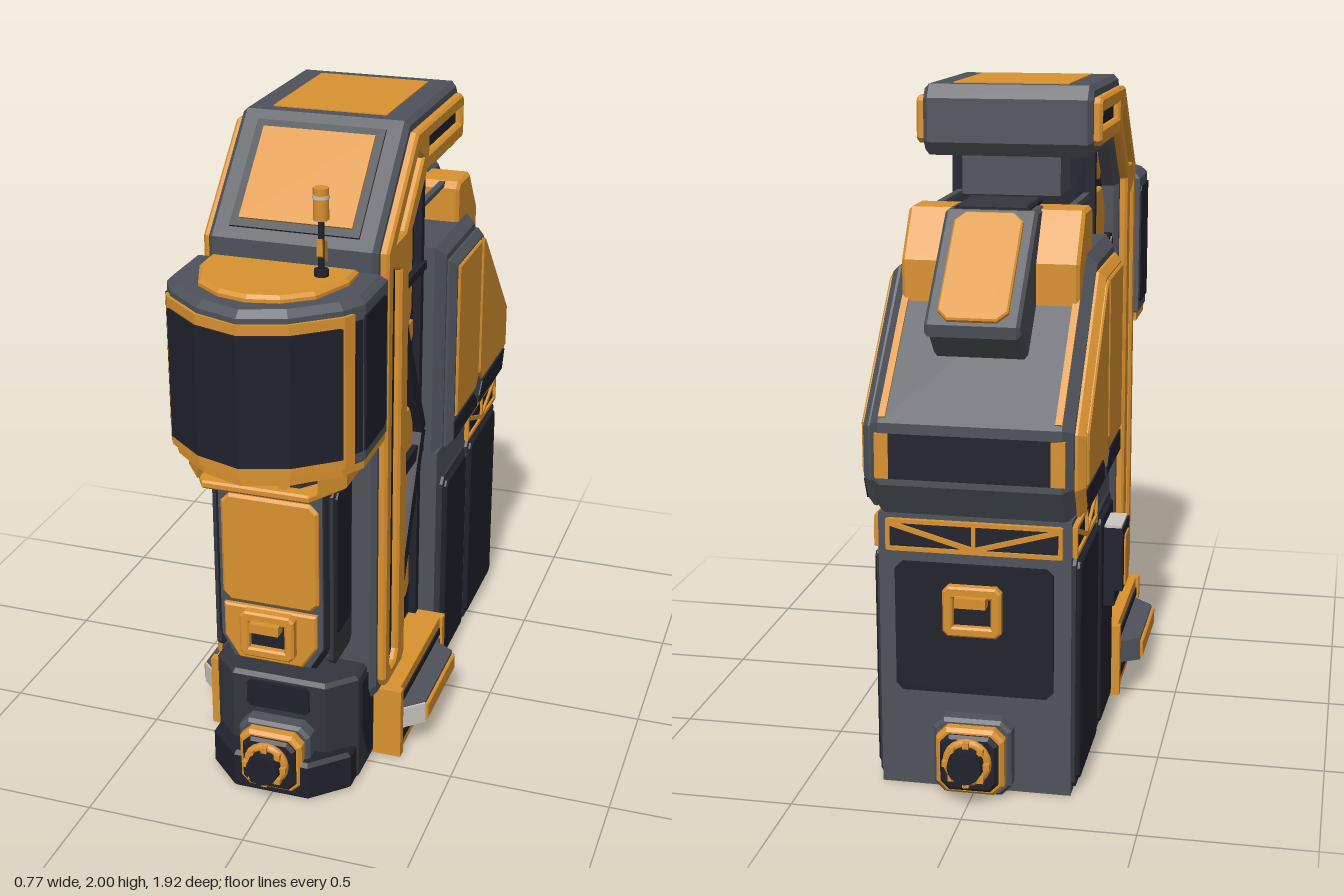
import * as THREE from 'three';

const paint = (name, color) => {
  const m = new THREE.MeshStandardMaterial({ color });
  m.name = name;
  return m;
};

export function createModel() {
  const root = new THREE.Group();
  root.name = 'industrialTower';
  const orange = paint('orange', 0xd9922f);
  const grey = paint('slateGrey', 0x4e525a);
  const dark = paint('darkNavy', 0x21212c);
  const steel = paint('darkSteel', 0x34363d);
  const light = paint('lightGrey', 0xcac6c2);

  const add = (name, geo, mat, parent = root) => {
    const m = new THREE.Mesh(geo, mat);
    m.name = name;
    parent.add(m);
    return m;
  };
  const toShape = (pts) => new THREE.Shape(pts.map((p) => new THREE.Vector2(p[0], p[1])));
  const slab = (pts, depth, bevel = 0, holes = []) => {
    const s = toShape(pts);
    for (const h of holes) s.holes.push(toShape(h));
    const g = new THREE.ExtrudeGeometry(s, {
      depth: depth - 2 * bevel, bevelEnabled: bevel > 0, bevelSize: bevel,
      bevelThickness: bevel, bevelOffset: -bevel, bevelSegments: 1, curveSegments: 8,
    });
    return g.translate(0, 0, bevel);
  };
  // (z, y) outline extruded across x
  const profile = (name, mat, pts, x0, x1, bevel, holes) =>
    add(name, slab(pts, x1 - x0, bevel, holes).rotateY(-Math.PI / 2).translate(x1, 0, 0), mat);
  // same outline on one flank, s = +1 or -1
  const flank = (name, mat, s, pts, xi, xo, bevel, holes) =>
    profile(name, mat, pts, s > 0 ? xi : -xo, s > 0 ? xo : -xi, bevel, holes);
  // (x, z) outline extruded up y
  const plan = (name, mat, pts, y0, y1, bevel) =>
    add(name, slab(pts, y1 - y0, bevel).rotateX(Math.PI / 2).translate(0, y1, 0), mat);
  // (x, y) outline extruded along z
  const face = (name, mat, pts, z0, z1, bevel, holes) =>
    add(name, slab(pts, z1 - z0, bevel, holes).translate(0, 0, z0), mat);
  const box = (name, mat, w, h, d, x, y, z, rx = 0, parent = root) => {
    const m = add(name, new THREE.BoxGeometry(w, h, d), mat, parent);
    m.position.set(x, y, z);
    m.rotation.x = rx;
    return m;
  };
  const rect = (a, b, c, d, k = 0) => k
    ? [[a + k, c], [b - k, c], [b, c + k], [b, d - k], [b - k, d], [a + k, d], [a, d - k], [a, c + k]]
    : [[a, c], [b, c], [b, d], [a, d]];
  const mirror = (pts) => [...pts, ...pts.slice().reverse().filter((p) => p[0] > 0).map(([x, y]) => [-x, y])];
  // straight beam between two (z, y) points at a given x
  const beam = (name, mat, a, b, x, w, t) => {
    const dz = b[0] - a[0], dy = b[1] - a[1];
    return box(name, mat, t, w, Math.hypot(dz, dy), x, (a[1] + b[1]) / 2, (a[0] + b[0]) / 2, -Math.atan2(dy, dz));
  };

  // Arched main frame with overhanging roof
  profile('archFrame', grey, [[.5, .24], [.52, .28], [.52, 1.7], [.22, 2], [-.29, 2], [-.32, 1.96], [-.32, 1.83],
    [-.29, 1.79], [.09, 1.79], [.25, 1.64], [.25, .28], [.23, .24]], -.255, .255, .015);
  box('frameCore', dark, .4, 1.6, .32, 0, 1.0, .1);
  box('roofNeck', grey, .3, .14, .22, 0, 1.74, -.14);
  box('roofPanel', orange, .35, .016, .43, 0, 2 - .005, -.035);
  const slopeFrame = box('slopeFrame', steel, .39, .35, .01, 0, 1.852, .372, -Math.PI / 4);
  slopeFrame.name = 'slopePanelRim';
  box('slopePanel', orange, .34, .3, .02, 0, 1.853, .373, -Math.PI / 4);

  const slots = [
    [[.42, .31], [.44, .34], [.44, 1.63], [.36, 1.6], [.36, .34], [.38, .31]],
    [[.41, 1.7], [.2, 1.905], [.15, 1.875], [.32, 1.705]],
    [[.09, 1.875], [.09, 1.92], [-.27, 1.92], [-.27, 1.875]],
  ];
  for (const s of [1, -1]) {
    // Orange side channel with recessed slots
    flank('archChannel', orange, s, [[.47, .27], [.49, .3], [.49, 1.69], [.21, 1.965], [-.28, 1.965], [-.295, 1.95], [-.295, 1.84],
      [-.28, 1.825], [.11, 1.825], [.285, 1.66], [.285, .3], [.305, .27]], .245, .28, .008, slots);
    slots.forEach((p) => flank('channelFloor', dark, s, p, .25, .259));
    // Braced bay with orange modules
    flank('bayModule', orange, s, [[.22, 1.33], [.22, 1.58], [.16, 1.65], [.03, 1.65], [.03, 1.36], [.06, 1.31]], .19, .215, .006);
    flank('bayModule', orange, s, [[.2, 1.21], [.05, 1.21], [0, 1.26], [0, 1.31], [.16, 1.31]], .19, .21);
    flank('bayModule', orange, s, rect(0, .16, .72, 1.03, .04), .19, .215, .006);
    flank('bayModule', orange, s, rect(.02, .2, .35, .52, .03), .19, .215, .006);
    flank('bayStrip', orange, s, rect(.18, .2, .56, .77), .19, .21);
    flank('bayStrip', orange, s, rect(.14, .165, .56, .69), .19, .21);
    beam('bayAccent', orange, [.11, 1.69], [.04, 1.76], s * .2, .03, .03);
    for (let i = 0; i < 3; i++) box('bayPipe', grey, .02, .16, .01, s * .205, 1.15, .155 + i * .022);
    beam('brace', dark, [.24, 1.47], [-.04, .92], s * .225, .045, .03);
    beam('brace', dark, [-.04, .92], [.24, .34], s * .225, .045, .03);
    beam('crossBar', dark, [.25, 1.475], [-.06, 1.475], s * .22, .025, .03);
    beam('crossBar', dark, [.25, .86], [-.06, .86], s * .22, .045, .03);
    beam('rearPost', dark, [-.045, .24], [-.045, 1.8], s * .21, .03, .03);
    beam('linkRail', grey, [-.03, 1.65], [-.35, 1.65], s * .2, .016, .02);
  }

  // Upper rear housing
  profile('rearHousing', grey, [[-.06, .82], [-.06, 1.53], [-.44, 1.53], [-.86, 1.11], [-.86, .93], [-.79, .82]], -.29, .29, .03);
  box('rearBand', dark, .5, .13, .012, 0, 1.015, -.858);
  for (const s of [1, -1]) {
    flank('housingFrame', s > 0 ? grey : orange, s, [[-.1, .84], [-.1, 1.48], [-.45, 1.48], [-.82, 1.09], [-.82, .93], [-.77, .84]], .27, .318, .02);
    flank('housingPanel', orange, s, [[-.13, .94], [-.13, 1.455], [-.405, 1.455], [-.405, .975], [-.37, .94]], .3, .326, .005);
    flank('housingPanel', orange, s, [[-.425, .975], [-.425, 1.455], [-.455, 1.445], [-.79, 1.09], [-.79, .94], [-.46, .94]], .3, .326, .005);
    flank('housingSkirt', dark, s, [[-.12, .86], [-.12, .925], [-.36, .925], [-.41, .885], [-.41, .86]], .3, .322);
    flank('housingSkirt', dark, s, [[-.44, .86], [-.44, .885], [-.48, .925], [-.79, .925], [-.76, .86]], .3, .322);
    box('slopeTrim', orange, .02, .56, .012, s * .25, 1.32, -.65, Math.PI / 4).rotation.x = Math.PI * 1.25;
    box('rearCornerPanel', orange, .04, .13, .014, s * .25, 1.015, -.858);
  }

  // Vent block and sloping hatch on the housing
  profile('ventBlock', orange, [[-.33, 1.52], [-.33, 1.64], [-.35, 1.66], [-.47, 1.66], [-.57, 1.52], [-.57, 1.4], [-.4, 1.4]], -.26, .26, .01);
  profile('hatchBody', grey, [[-.4, 1.5], [-.42, 1.665], [-.54, 1.665], [-.82, 1.385], [-.815, 1.35], [-.77, 1.345], [-.7, 1.27], [-.6, 1.3]], -.135, .135, .01);
  box('ventBed', dark, .22, .02, .2, 0, 1.66, -.43);
  for (let i = 0; i < 6; i++) box('ventSlat', steel, .2, .012, .014, 0, 1.673, -.35 - i * .032);
  const hatch = face('hatchPanel', orange, rect(-.1, .1, -.185, .185, .03), 0, .02, .005);
  hatch.position.set(0, 1.52, -.677);
  hatch.rotation.set(-Math.PI * .75, 0, 0);

  // Lower rear body with side and back panels
  box('rearBody', grey, .56, .83, .74, 0, .415, -.43);
  const truss = (w) => {
    const g = new THREE.Group();
    g.name = 'trussBand';
    box('trussBack', dark, w, .09, .008, 0, 0, 0, 0, g);
    for (const s of [1, -1]) {
      box('trussRail', orange, w, .012, .016, 0, s * .041, .004, 0, g);
      box('trussEnd', orange, .012, .09, .016, s * w / 2, 0, .004, 0, g);
      box('trussDiagonal', orange, Math.hypot(w / 2, .07), .014, .016, s * w / 4, 0, .004, 0, g).rotation.z = s * Math.atan2(.07, w / 2);
    }
    box('trussPost', orange, .012, .09, .016, 0, 0, .004, 0, g);
    root.add(g);
    return g;
  };
  for (const s of [1, -1]) {
    const t = truss(.37);
    t.position.set(s * .283, .77, -.6);
    t.rotation.y = s * Math.PI / 2;
    for (const [a, b] of [[-.385, -.1], [-.785, -.41]]) {
      flank('sidePanelRim', steel, s, rect(a, b, .015, .72, .02), .27, .29);
      flank('sidePanel', dark, s, rect(a + .02, b - .02, .035, .7, .015), .28, .302, .005);
    }
  }
  const backTruss = truss(.5);
  backTruss.position.set(0, .77, -.803);
  backTruss.rotation.y = Math.PI;
  face('backPanel', dark, rect(-.23, .23, .3, .69, .02), -.815, -.79);

  // Equipment box on the right flank
  box('sideBox', dark, .07, .2, .15, -.325, .56, -.245);
  profile('sideBoxWedge', dark, rect(-.32, -.17, .41, .47), -.335, -.29);
  box('sideBoxLid', light, .06, .008, .13, -.325, .664, -.245);
  box('sideBoxPlate', orange, .008, .16, .08, -.361, .55, -.245);

  // Base slab with flared side bumpers
  box('baseSlab', orange, .62, .24, .51, 0, .12, .195);
  for (const s of [1, -1]) {
    flank('baseSlot', dark, s, rect(-.02, .41, .18, .205), .3, .315);
    flank('baseSlot', dark, s, rect(-.02, .41, .035, .065), .3, .315);
    flank('baseRecess', grey, s, rect(-.02, .41, .085, .165), .3, .316);
    plan('bumper', grey, [[s * .31, 0], [s * .31, .42], [s * .375, .36], [s * .375, .04]], .09, .165);
    flank('bumperFace', orange, s, rect(.04, .36, .1, .155), .37, .385, .004);
    const tip = box('bumperTip', light, .082, .07, .008, s * .345, .127, .392);
    tip.rotation.y = s * Math.atan2(.06, .065);
    for (const z of [-.045, .435]) box('baseEdge', orange, .02, .24, .03, s * .31, .12, z);
  }

  // Front plinth
  plan('frontPlinth', steel, mirror([[.23, .44], [.23, .6], [.15, .68]]), 0, .37, .012);
  plan('plinthFoot', dark, mirror([[.225, .44], [.225, .66], [.12, .76]]), 0, .13, .012);
  face('plinthPanel', dark, rect(-.1, .1, .26, .35, .01), .67, .69);
  for (const s of [1, -1]) {
    flank('plinthPanel', dark, s, [[.47, .04], [.47, .34], [.58, .34], [.58, .2], [.52, .04]], .225, .236);
    const pipe = new THREE.CatmullRomCurve3([[.62, .46], [.6, .4], [.55, .38], [.5, .4]].map(([z, y]) => new THREE.Vector3(s * .035, y, z)));
    add('cable', new THREE.TubeGeometry(pipe, 10, .016, 8), dark);
  }

  // Coupling sockets at both ends
  const coupling = (z, ry) => {
    const g = new THREE.Group();
    g.name = 'coupling';
    const plate = (name, mat, r, k, z0, z1) => add(name, slab(rect(-r, r, .12 - r, .12 + r, k), z1 - z0, .01).translate(0, 0, z0), mat, g);
    plate('couplingBase', grey, .115, .03, -.03, .05);
    plate('couplingRim', orange, .1, .03, .03, .085);
    plate('couplingFace', dark, .085, .025, .07, .1);
    const ring = add('couplingRing', new THREE.TorusGeometry(.058, .014, 8, 20), orange, g);
    ring.position.set(0, .135, .115);
    const hub = add('couplingHub', new THREE.CylinderGeometry(.05, .055, .07, 16), dark, g);
    hub.rotation.x = Math.PI / 2;
    hub.position.set(0, .135, .125);
    for (let i = 0; i < 8; i++) {
      const a = i * Math.PI / 4;
      box('couplingLug', orange, .018, .018, .02, .06 * Math.cos(a), .135 + .06 * Math.sin(a), .13, 0, g);
    }
    g.position.z = z;
    g.rotation.y = ry;
    root.add(g);
  };
  coupling(.68, 0);
  coupling(-.8, Math.PI);

  // Grab handles
  const handle = (y, z, ry) => {
    const g = new THREE.Group();
    g.name = 'grabHandle';
    add('handleFrame', slab(rect(-.085, .085, -.075, .075, .015), .035, .006, [rect(-.055, .055, -.045, .04)]), orange, g);
    box('handleWell', dark, .12, .1, .012, 0, 0, .006, 0, g);
    box('handleGrip', orange, .09, .03, .04, 0, .035, .035, 0, g);
    g.position.set(0, y, z);
    g.rotation.y = ry;
    root.add(g);
  };
  handle(.56, -.812, Math.PI);

  // Front column
  face('column', dark, mirror([[.13, .44], [.18, .52], [.18, 1.08]]), .5, .715, .015);
  face('columnFace', grey, mirror([[.12, .455], [.16, .525], [.16, 1.06]]), .7, .725);
  face('columnPanel', orange, rect(-.15, .15, .65, 1.0, .025), .715, .738, .008);
  face('columnLatch', orange, mirror([[.1, .46], [.145, .53], [.145, .64]]), .715, .742, .006);
  handle(.565, .74, 0);
  for (const s of [1, -1]) {
    flank('columnSide', steel, s, rect(.535, .705, .46, 1.04, .02), .17, .186);
    flank('columnSidePanel', dark, s, rect(.555, .685, .56, 1.02, .015), .18, .192);
  }

  // Collar under the cabin
  plan('collarPlate', orange, mirror([[.23, .5], [.23, .72], [.16, .84]]), 1.06, 1.085, .006);
  plan('collarNeck', steel, mirror([[.2, .5], [.2, .7], [.12, .8]]), 1.08, 1.17);
  for (const s of [1, -1]) {
    plan('collarBracket', orange, [[s * .14, .62], [s * .24, .62], [s * .24, .74], [s * .18, .82]], 1.08, 1.15);
    const strut = box('collarStrut', orange, .02, .1, .02, s * .1, 1.115, .81);
    strut.rotation.z = s * -.7;
  }

  // Rounded cabin with wraparound window
  const nose = [[.29, .53], [.29, .73], [.25, .8], [.13, .9], [0, .945]];
  plan('cabin', grey, mirror(nose), 1.15, 1.65, .02);
  plan('cabinRim', orange, mirror([[.275, .775], [.257, .806], [.134, .908], [0, .95]]), 1.17, 1.615);
  plan('cabinWindow', dark, mirror([[.255, .816], [.136, .913], [0, .957]]), 1.2, 1.585);
  plan('cabinSill', orange, mirror(nose.map(([x, z]) => [x * .98, z - .005])), 1.14, 1.165);
  plan('cabinRoof', orange, mirror([[.22, .575], [.22, .66], [.17, .79], [.09, .85], [0, .87]]), 1.64, 1.67, .01);
  for (const s of [1, -1]) flank('cabinSideWindow', dark, s, rect(.55, .785, 1.2, 1.6, .015).map(([z, y]) => [Math.min(z, .735), y]), .285, .294);
  for (const s of [1, -1]) {
    const pane = box('cabinCornerWindow', dark, .004, .39, .055, s * .272, 1.395, .766);
    pane.rotation.y = s * -Math.atan2(.04, .07);
  }

  // Antenna
  const rod = (name, mat, r, y0, y1) =>
    add(name, new THREE.CylinderGeometry(r, r, y1 - y0, 10), mat).position.set(.14, (y0 + y1) / 2, .66);
  rod('antennaFoot', dark, .02, 1.66, 1.69);
  rod('antennaMast', dark, .009, 1.68, 1.84);
  rod('antennaTip', orange, .022, 1.83, 1.92);
  rod('antennaBand', light, .024, 1.89, 1.9);
  profile('antennaFin', orange, [[.675, 1.78], [.675, 1.73], [.63, 1.7], [.63, 1.76]], .132, .148);
  return root;
}
